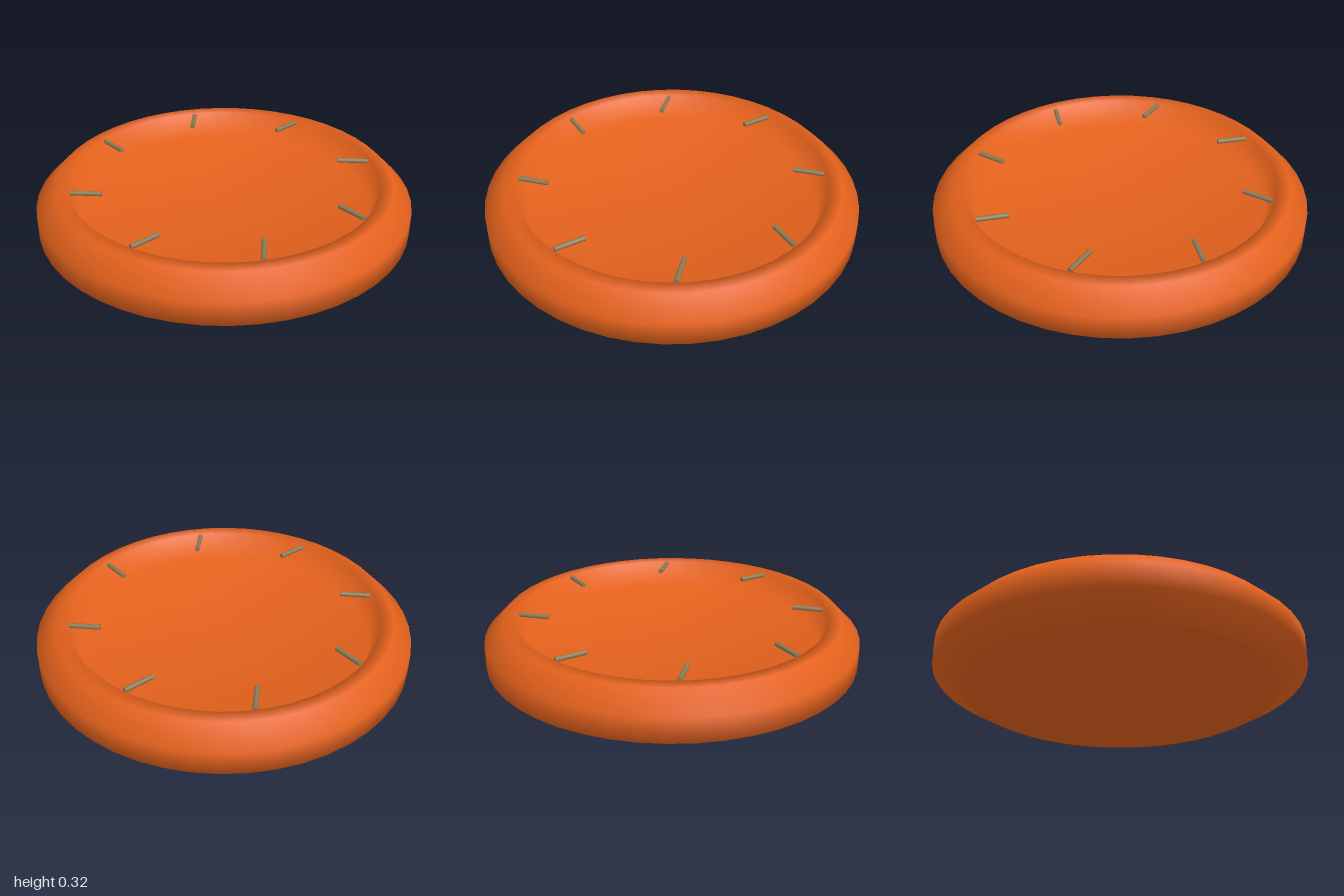
import * as THREE from 'three';
import { mergeVertices } from 'three/addons/utils/BufferGeometryUtils.js';

const SEGMENTS = 48;

export function createModel() {
  const model = new THREE.Group();
  model.name = 'shallowDish';

  const clay = new THREE.MeshStandardMaterial({ color: 0xe3611c });
  clay.name = 'orange clay';
  const olive = new THREE.MeshStandardMaterial({ color: 0x8b7b56 });
  olive.name = 'dull olive';

  // Dish: bevelled wall, flat rim, steep inner wall and a gently sunken floor, smoothly shaded
  const profile = [
    [0.84, 0], [1, 0.09], [1, 0.215], [0.9, 0.315],
    [0.83, 0.315], [0.78, 0.18], [0, 0.15],
  ].map(([r, y]) => new THREE.Vector2(r, y));
  let shell = new THREE.LatheGeometry(profile, SEGMENTS);
  shell.deleteAttribute('normal');
  shell.deleteAttribute('uv');
  shell = mergeVertices(shell);
  shell.computeVertexNormals();
  const dish = new THREE.Mesh(shell, clay);
  dish.name = 'dish';
  model.add(dish);

  // Flat underside with a sharp edge
  const base = new THREE.Mesh(new THREE.CircleGeometry(0.84, SEGMENTS), clay);
  base.name = 'underside';
  base.rotation.x = Math.PI / 2;
  model.add(base);

  // Eight small sticks around the hollow, each slanted from the radial line
  const stickLength = 0.163;
  const stickGeometry = new THREE.CylinderGeometry(0.013, 0.013, stickLength, 8);
  stickGeometry.rotateZ(Math.PI / 2);
  stickGeometry.translate(stickLength / 2, 0, 0);
  for (let i = 0; i < 8; i++) {
    const spoke = new THREE.Group();
    spoke.name = `stickPosition${i + 1}`;
    spoke.rotation.y = (i * Math.PI) / 4;
    const stick = new THREE.Mesh(stickGeometry, olive);
    stick.name = 'stick';
    stick.position.set(0.661, 0.309, 0);
    stick.rotation.y = THREE.MathUtils.degToRad(-20);
    spoke.add(stick);
    model.add(spoke);
  }

  return model;
}
